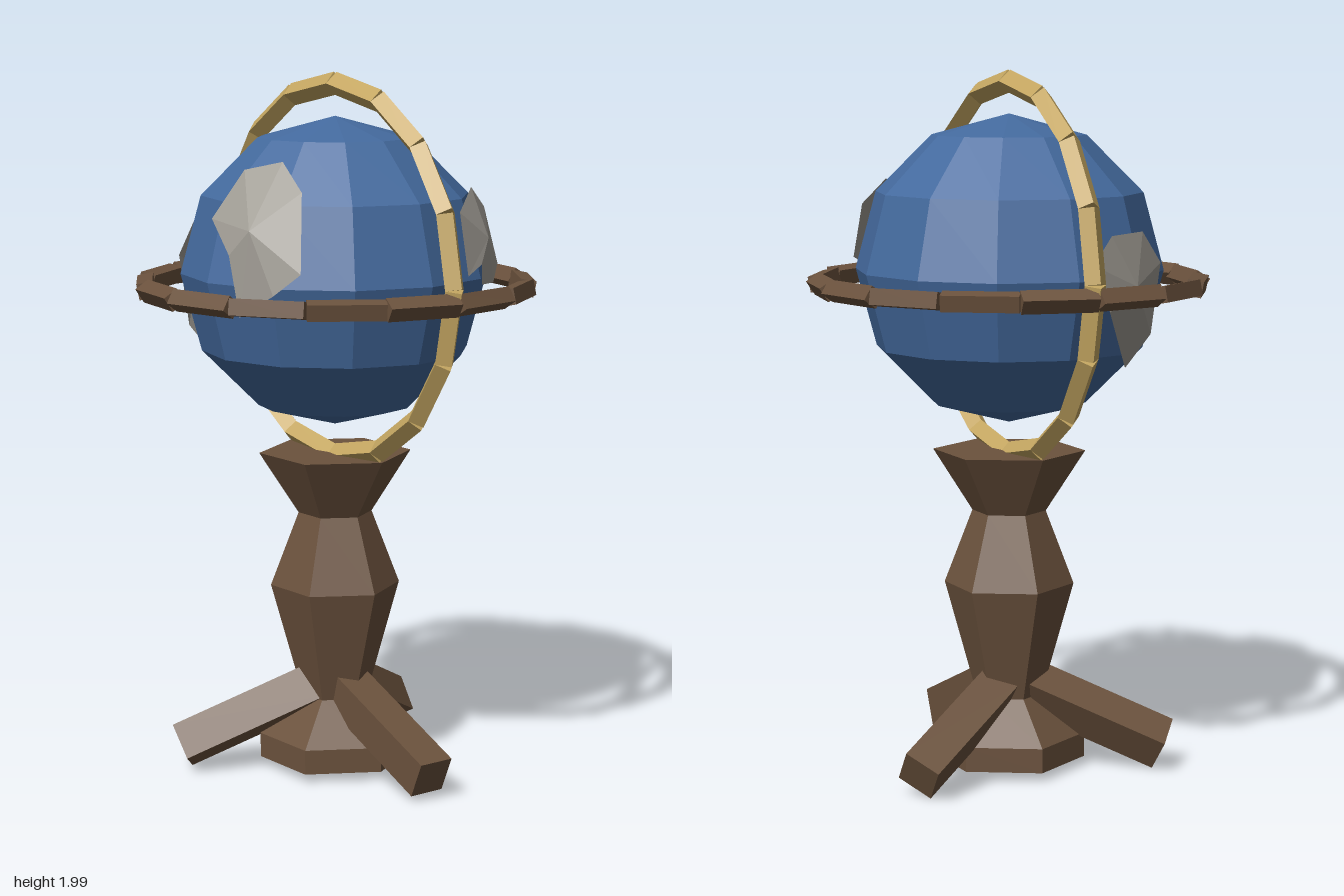
import * as THREE from 'three';

const flat = (name, color) => {
  const m = new THREE.MeshStandardMaterial({ color, flatShading: true });
  m.name = name;
  return m;
};

export function createModel() {
  const wood = flat('wood', 0x6b523d);
  const brass = flat('brass', 0xc4a661);
  const sea = flat('seaBlue', 0x446a9e);
  const land = flat('landGrey', 0x9e9a92);
  land.side = THREE.DoubleSide;

  const model = new THREE.Group();
  model.name = 'globeOnStand';
  const UP = new THREE.Vector3(0, 1, 0);
  const V = (x, y, z) => new THREE.Vector3(x, y, z);

  const add = (parent, name, geometry, material) => {
    const mesh = new THREE.Mesh(geometry, material);
    mesh.name = name;
    parent.add(mesh);
    return mesh;
  };

  // Places an upright geometry so that its axis runs from a to b
  const strut = (parent, name, a, b, makeGeometry, material) => {
    const dir = b.clone().sub(a);
    const mesh = add(parent, name, makeGeometry(dir.length()), material);
    mesh.position.copy(a).add(b).multiplyScalar(0.5);
    mesh.quaternion.setFromUnitVectors(UP, dir.normalize());
  };

  // Hexagonal pedestal: stacked frustums from foot to cup
  const profile = [[0.217, 0.035], [0.217, 0.105], [0.095, 0.22], [0.185, 0.545], [0.105, 0.755], [0.217, 0.93]];
  const pts = [[0, profile[0][1]], ...profile, [0, 0.93]].map(([r, y]) => new THREE.Vector2(r, y));
  const pedestal = add(model, 'pedestal', new THREE.LatheGeometry(pts, 6), wood);
  pedestal.rotation.y = Math.PI / 6;

  // Three sloping legs
  const legs = new THREE.Group();
  legs.name = 'legs';
  model.add(legs);
  for (let i = 0; i < 3; i++) {
    const a = (i * Math.PI * 2) / 3;
    const at = (r, y) => V(Math.cos(a) * r, y, Math.sin(a) * r);
    strut(legs, 'leg', at(0.043, 0.25), at(0.443, 0.077), (l) => new THREE.BoxGeometry(0.108, l, 0.108), wood);
  }

  // Rings made of sixteen four-sided bars
  const ring = (name, radius, material, place) => {
    const group = new THREE.Group();
    group.name = name;
    model.add(group);
    const at = (i) => {
      const a = (i * Math.PI) / 8;
      return place(Math.cos(a) * radius, Math.sin(a) * radius);
    };
    for (let i = 0; i < 16; i++) {
      strut(group, name + 'Bar', at(i), at(i + 1), (l) => new THREE.CylinderGeometry(0.032, 0.032, l, 4), material);
    }
  };
  const CY = 1.445;
  ring('meridianRing', 0.525, brass, (u, v) => V(u, CY + v, 0));
  ring('horizonRing', 0.54, wood, (u, v) => V(u, 1.407, v));

  // Globe
  const globe = add(model, 'globe', new THREE.SphereGeometry(0.435, 12, 6), sea);
  globe.position.y = CY;

  // Land patches: outlines pushed onto a sphere just above the globe
  const R = 0.456;
  const patch = (name, outline, centre) => {
    const c = V(...centre).setLength(R + 0.006);
    const rim = outline.map((p) => V(...p).setLength(R));
    const pos = [];
    rim.forEach((p, i) => {
      const q = rim[(i + 1) % rim.length];
      pos.push(...c.toArray(), ...p.toArray(), ...q.toArray());
    });
    const g = new THREE.BufferGeometry();
    g.setAttribute('position', new THREE.Float32BufferAttribute(pos, 3));
    g.computeVertexNormals();
    add(model, name, g, land).position.y = CY;
  };
  // Missing third coordinate, solved from the sphere
  const depth = (a, b) => Math.sqrt(R * R - a * a - b * b);

  const front = [[0.005, 1.62], [0.105, 1.53], [0.14, 1.365], [0.24, 1.43], [0.3, 1.49], [0.24, 1.70], [0.14, 1.775], [0.04, 1.75]]
    .map(([x, y]) => [x, y - CY, depth(x, y - CY)]);
  patch('frontLand', front, [0.155, 0.15, 0.4]);

  const left = [[-0.12, 1.465], [-0.19, 1.49], [-0.19, 1.435], [-0.27, 1.43], [-0.355, 1.47], [-0.35, 1.625], [-0.25, 1.69], [-0.125, 1.635]]
    .map(([z, y]) => [depth(z, y - CY), y - CY, z]);
  patch('leftLand', left, [0.37, 0.11, -0.24]);

  const right = [[0.033, 1.49], [0.09, 1.36], [0.2, 1.19], [0.28, 1.28], [0.295, 1.48], [0.22, 1.57], [0.1, 1.565]]
    .map(([z, y]) => [-depth(z, y - CY), y - CY, z]);
  patch('rightLand', right, [-0.42, -0.02, 0.18]);

  return model;
}
